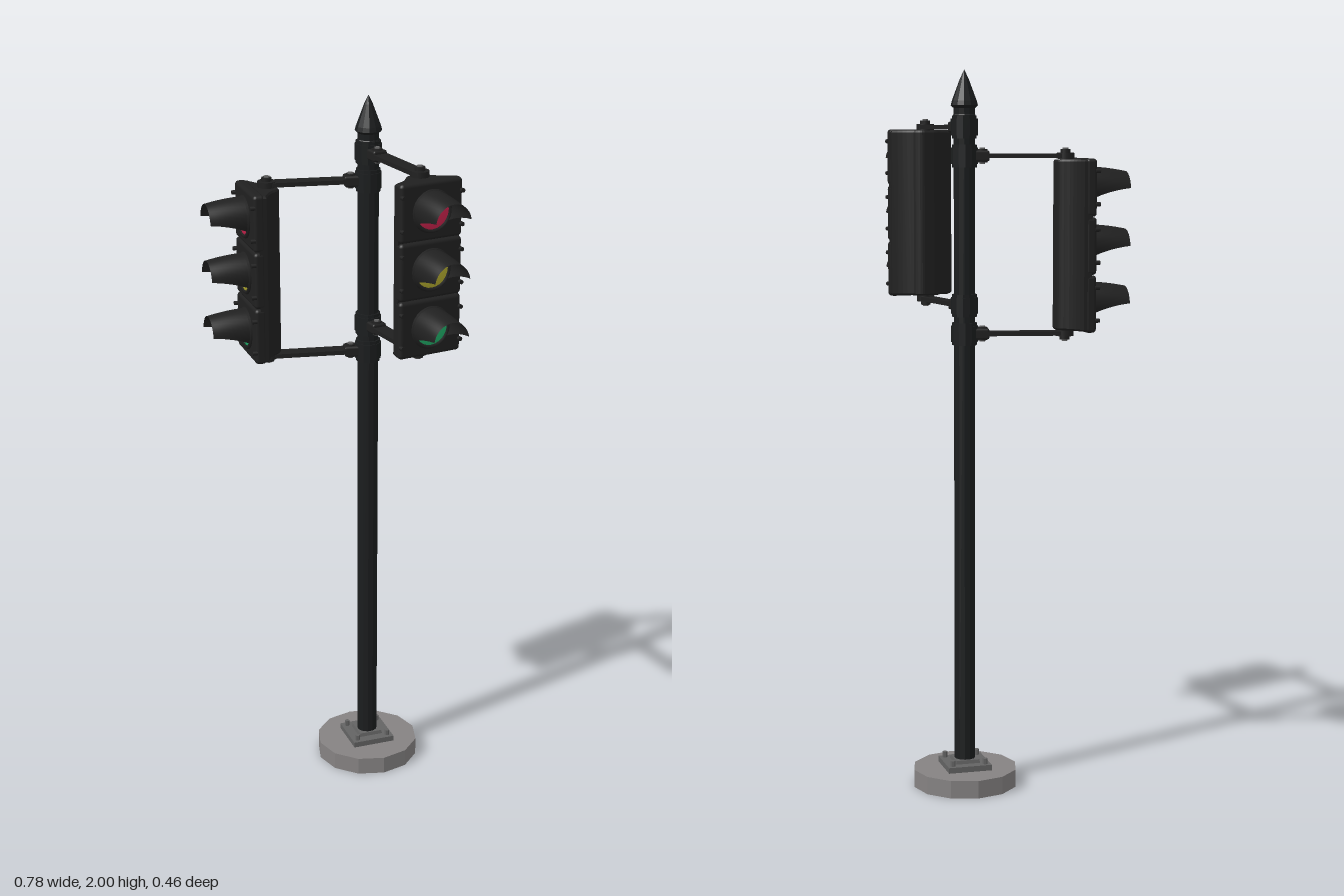
import * as THREE from 'three';
import { RoundedBoxGeometry } from 'three/addons/geometries/RoundedBoxGeometry.js';

const mat = (name, color, extra = {}) => {
  const m = new THREE.MeshStandardMaterial({ color, ...extra });
  m.name = name;
  return m;
};

export function createModel() {
  const black = mat('black housing', 0x202020, { side: THREE.DoubleSide });
  const polePaint = mat('pole black', 0x1b1d1e, { flatShading: true });
  const concrete = mat('concrete', 0x858282, { flatShading: true });
  const steel = mat('steel', 0x636363, { flatShading: true });
  const red = mat('red lens', 0xd0244f);
  const yellow = mat('yellow lens', 0xb8b030);
  const green = mat('green lens', 0x22b56d);

  const model = new THREE.Group();
  model.name = 'trafficLight';

  const add = (parent, name, geometry, material, x = 0, y = 0, z = 0) => {
    const mesh = new THREE.Mesh(geometry, material);
    mesh.name = name;
    mesh.position.set(x, y, z);
    parent.add(mesh);
    return mesh;
  };
  const cyl = (rTop, rBottom, h, sides) => new THREE.CylinderGeometry(rTop, rBottom, h, sides);

  // Everything fixed to the pole is placed around its axis
  const PX = -0.005, PZ = -0.088;
  const post = new THREE.Group();
  post.name = 'post';
  post.position.set(PX, 0, PZ);
  model.add(post);

  // Footing and bolted base plates
  add(post, 'footing', cyl(0.148, 0.148, 0.05, 12), concrete, 0, 0.025).rotation.y = Math.PI / 12;
  add(post, 'basePlate', cyl(0.088, 0.088, 0.016, 4), steel, 0, 0.058);
  add(post, 'baseCollar', cyl(0.047, 0.05, 0.01, 4), steel, 0, 0.071);
  for (let i = 0; i < 4; i++) {
    const a = (i * Math.PI) / 2;
    add(post, 'anchorBolt', cyl(0.007, 0.007, 0.016, 6), steel, 0.066 * Math.cos(a), 0.074, 0.066 * Math.sin(a));
  }

  // Pole with a turned neck and pointed finial
  add(post, 'pole', cyl(0.029, 0.029, 1.83, 12), polePaint, 0, 0.985);
  const finial = [[0.031, 1.868], [0.031, 1.878], [0.026, 1.884], [0.026, 1.894],
    [0.037, 1.904], [0.034, 1.916], [0.012, 1.975], [0.0, 2.0]];
  add(post, 'finial', new THREE.LatheGeometry(finial.map(p => new THREE.Vector2(...p)), 12), polePaint);

  // Hood: upper part of a tube whose lower edge sweeps up towards the tip
  const visorGeometry = new THREE.PlaneGeometry(1, 1, 20, 8);
  const vp = visorGeometry.attributes.position;
  for (let i = 0; i < vp.count; i++) {
    const t = vp.getY(i) + 0.5;
    const half = THREE.MathUtils.degToRad(130 - 48 * Math.pow(t, 0.7));
    const phi = -2 * half * vp.getX(i);
    const r = 0.056 - 0.003 * t;
    vp.setXYZ(i, r * Math.sin(phi), r * Math.cos(phi) - 0.01 * t * t, 0.06 + 0.112 * t);
  }
  visorGeometry.computeVertexNormals();

  // Slightly domed lens
  const lensGeometry = new THREE.SphereGeometry(0.051, 24, 6, 0, Math.PI * 2, 0, Math.PI / 2);
  lensGeometry.rotateX(Math.PI / 2);
  lensGeometry.scale(1, 1, 0.16);

  // Housing cross-section: narrow hinge spine at the back flaring to the doors
  const section = new THREE.Shape();
  section.moveTo(-0.088, -0.045);
  section.lineTo(0.088, -0.045);
  section.lineTo(0.088, -0.03);
  section.quadraticCurveTo(0.052, -0.014, 0.036, 0.006);
  section.quadraticCurveTo(0.028, 0.024, 0.014, 0.026);
  section.lineTo(-0.014, 0.026);
  section.quadraticCurveTo(-0.028, 0.024, -0.036, 0.006);
  section.quadraticCurveTo(-0.052, -0.014, -0.088, -0.03);
  section.closePath();
  const housingGeometry = new THREE.ExtrudeGeometry(section, {
    depth: 0.456, bevelEnabled: true, bevelSize: 0.004, bevelThickness: 0.005, bevelSegments: 1, curveSegments: 5,
  });
  housingGeometry.rotateX(-Math.PI / 2);
  housingGeometry.translate(0, -0.228, 0);

  const doorGeometry = new RoundedBoxGeometry(0.186, 0.157, 0.032, 2, 0.01);
  const ringGeometry = new THREE.TorusGeometry(0.053, 0.006, 6, 24);

  // Signal head: its origin is the hinge axis and it faces local +z
  const addHead = (name, x, z, y, angle) => {
    const head = new THREE.Group();
    head.name = name;
    head.position.set(x, y, z);
    head.rotation.y = THREE.MathUtils.degToRad(angle);
    model.add(head);
    add(head, 'housing', housingGeometry, black);
    [red, yellow, green].forEach((lensMaterial, i) => {
      const ly = 0.158 * (1 - i);
      add(head, 'door', doorGeometry, black, 0, ly, 0.048);
      add(head, 'lensRing', ringGeometry, black, 0, ly, 0.065);
      add(head, 'lens', lensGeometry, lensMaterial, 0, ly, 0.0645);
      add(head, 'visor', visorGeometry, black, 0, ly, 0);
      // Door latches and hinge knuckles
      for (const side of [-1, 1]) {
        for (const dy of [-0.045, 0.045]) {
          add(head, 'latch', cyl(0.006, 0.006, 0.014, 8), black, side * 0.088, ly + dy, 0.066).rotation.x = Math.PI / 2;
        }
      }
    });
  };

  // Flat arms from clamps on the pole to the top and bottom of a head
  const addArms = (x, z, y) => {
    const dx = x - PX, dz = z - PZ, length = Math.hypot(dx, dz);
    for (const end of [-1, 1]) {
      const bracket = new THREE.Group();
      bracket.name = end > 0 ? 'upperBracket' : 'lowerBracket';
      bracket.position.set(PX, y + end * 0.243, PZ);
      bracket.rotation.y = Math.atan2(dx, dz);
      model.add(bracket);
      add(bracket, 'clampBand', cyl(0.037, 0.037, 0.045, 12), polePaint, 0, 0.0);
      add(bracket, 'clampRim', cyl(0.034, 0.034, 0.062, 12), polePaint, 0, 0.0);
      add(bracket, 'clampLug', new RoundedBoxGeometry(0.042, 0.03, 0.05, 1, 0.006), black, 0, 0, 0.043);
      add(bracket, 'arm', new THREE.BoxGeometry(0.042, 0.012, length - 0.03), black, 0, 0, length / 2 + 0.015);
      add(bracket, 'hingeHub', cyl(0.025, 0.025, 0.016, 16), black, 0, 0, length);
      for (const bz of [0.049, length]) {
        add(bracket, 'washer', cyl(0.014, 0.014, 0.036, 12), black, 0, 0, bz);
        add(bracket, 'bolt', cyl(0.008, 0.008, 0.044, 6), steel, 0, 0, bz);
      }
    }
  };

  // Two heads set at different heights and angles
  const heads = [
    ['leftHead', 0.215, 0.07, 1.603, 54],
    ['rightHead', -0.233, 0.071, 1.525, -46],
  ];
  for (const [name, x, z, y, angle] of heads) {
    addHead(name, x, z, y, angle);
    addArms(x, z, y);
  }
  return model;
}
